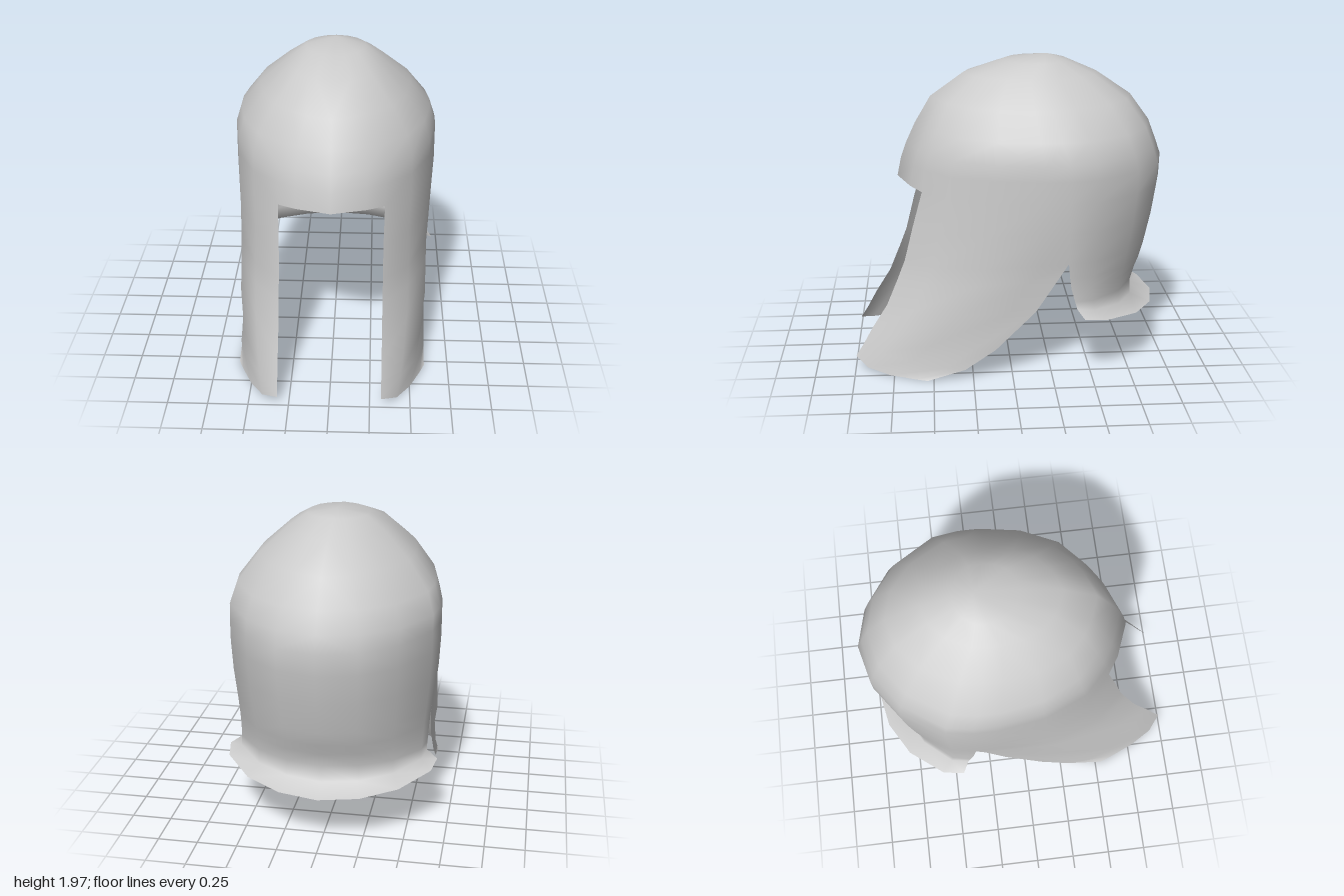
import * as THREE from 'three';

const lerp = THREE.MathUtils.lerp;

// Half outline of a horizontal section, front to back: [x / half width, s],
// where s runs from 1 (front tip) through 0 (side) to -1 (back).
const OUTLINE = [
  [0, 1], [0.33, 0.92], [0.5, 0.85], [0.75, 0.7], [0.93, 0.44], [1, 0.15], [1, 0],
  [0.96, -0.26], [0.7, -0.67], [0.37, -0.91], [0, -1],
];
const CHEEK_START = 2, SIDE = 6;

function section(y, w, zc, zf, zb, yFront = y, yBack = y) {
  return OUTLINE.map(([u, s]) => new THREE.Vector3(
    u * w,
    s > 0 ? lerp(y, yFront, Math.max(0, (s - 0.85) / 0.15)) : lerp(y, yBack, -s),
    s > 0 ? lerp(zc, zf, s) : lerp(zc, zb, -s),
  ));
}

// Piecewise linear lookup in a list of [input, output]
function lookup(table, v) {
  for (let i = 1; i < table.length; i++) {
    const [a, fa] = table[i - 1], [b, fb] = table[i];
    if (v <= b) return lerp(fa, fb, Math.max(0, (v - a) / (b - a)));
  }
  return table[table.length - 1][1];
}

// Triangles of a grid of points (rows top to bottom, columns front to back)
function gridTriangles(rows, side) {
  const tris = [];
  const place = (p) => new THREE.Vector3(p.x * side, p.y, p.z);
  const add = (a, b, c) => {
    const t = (side > 0 ? [a, b, c] : [a, c, b]).map(place);
    if (new THREE.Triangle(...t).getArea() > 1e-7) tris.push(t);
  };
  for (let r = 0; r + 1 < rows.length; r++) {
    for (let c = 0; c + 1 < rows[r].length; c++) {
      const a = rows[r][c], b = rows[r][c + 1], p = rows[r + 1][c], q = rows[r + 1][c + 1];
      add(a, p, b);
      add(b, p, q);
    }
  }
  return tris;
}

const keyOf = (p) => [p.x, p.y, p.z].map((v) => Math.round(v * 1e4) + 0).join();

export function createModel() {
  // Dome: crown point, then sections down to the brow
  const crown = OUTLINE.map(() => new THREE.Vector3(0, 1.965, -0.25));
  const dome = [
    crown,
    section(1.93, 0.19, -0.22, 0.03, -0.38),
    section(1.85, 0.31, -0.2, 0.28, -0.57),
    section(1.7, 0.48, -0.25, 0.49, -0.79),
    section(1.53, 0.61, -0.3, 0.59, -0.915),
    section(1.4, 0.65, -0.34, 0.65, -0.965),
    section(1.3, 0.65, -0.34, 0.685, -1.0),
    section(1.16, 0.65, -0.34, 0.71, -0.995, 1.18),
  ];
  const brow = dome[dome.length - 1];

  // Neck guard: back wall pulled in at the nape, then a flared rim
  const neck = [
    brow,
    section(0.97, 0.64, -0.34, 0, -0.965),
    section(0.77, 0.62, -0.34, 0, -0.92),
    section(0.67, 0.61, -0.35, 0, -0.89),
    section(0.6, 0.605, -0.36, 0, -0.86),
    section(0.51, 0.6, -0.385, 0, -0.83),
    section(0.46, 0.6, -0.4, 0, -0.83, 0.46, 0.4),
    section(0.42, 0.67, -0.44, 0, -0.97, 0.42, 0.35),
  ].map((row) => row.slice(SIDE));

  // Cheek guards: each row runs from front edge to back edge, sweeping forward
  const steps = [0, 0.17, 0.48, 0.82, 1];
  const sideWidth = [[0.6, 0.6], [0.77, 0.62], [0.97, 0.64], [1.16, 0.65]];
  const cheekRow = ([zf, yf, zb, yb, bend = 1]) => steps.map((t) => {
    const z = lerp(zf, zb, t);
    const y = lerp(yb, yf, (1 - t) ** bend);
    const bulge = [[0, 0.32], [0.08, 0.42], [0.16, 0.475], [0.45, 0.6], [0.73, lookup(sideWidth, y)]];
    return new THREE.Vector3(lookup(bulge, zf - z), y, z);
  });
  const cheek = [
    brow.slice(CHEEK_START, SIDE + 1),
    ...[
      [0.615, 0.93, -0.34, 0.97],
      [0.67, 0.71, -0.34, 0.77],
      [0.72, 0.58, -0.28, 0.67],
      [0.79, 0.41, -0.14, 0.45],
      [0.89, 0.25, 0.11, 0.2],
      [0.95, 0.14, 0.3, 0.07],
      [1.0, 0.06, 0.54, 0, 6],
    ].map(cheekRow),
  ];

  const parts = {
    dome: [...gridTriangles(dome, 1), ...gridTriangles(dome, -1)],
    neckGuard: [...gridTriangles(neck, 1), ...gridTriangles(neck, -1)],
    leftCheekGuard: gridTriangles(cheek, 1),
    rightCheekGuard: gridTriangles(cheek, -1),
  };

  // Shared smooth normals so the parts blend without seams
  const normals = new Map();
  for (const [a, b, c] of Object.values(parts).flat()) {
    const n = b.clone().sub(a).cross(c.clone().sub(a));
    for (const p of [a, b, c]) {
      const k = keyOf(p);
      if (!normals.has(k)) normals.set(k, new THREE.Vector3());
      normals.get(k).add(n);
    }
  }
  normals.forEach((n) => n.normalize());

  const material = new THREE.MeshStandardMaterial({ color: 0xcccccc, side: THREE.DoubleSide });
  const group = new THREE.Group();
  group.name = 'helmet';
  for (const [name, tris] of Object.entries(parts)) {
    const points = tris.flat();
    const geometry = new THREE.BufferGeometry().setFromPoints(points);
    const flat = points.flatMap((p) => normals.get(keyOf(p)).toArray());
    geometry.setAttribute('normal', new THREE.Float32BufferAttribute(flat, 3));
    const mesh = new THREE.Mesh(geometry, material);
    mesh.name = name;
    group.add(mesh);
  }
  return group;
}
